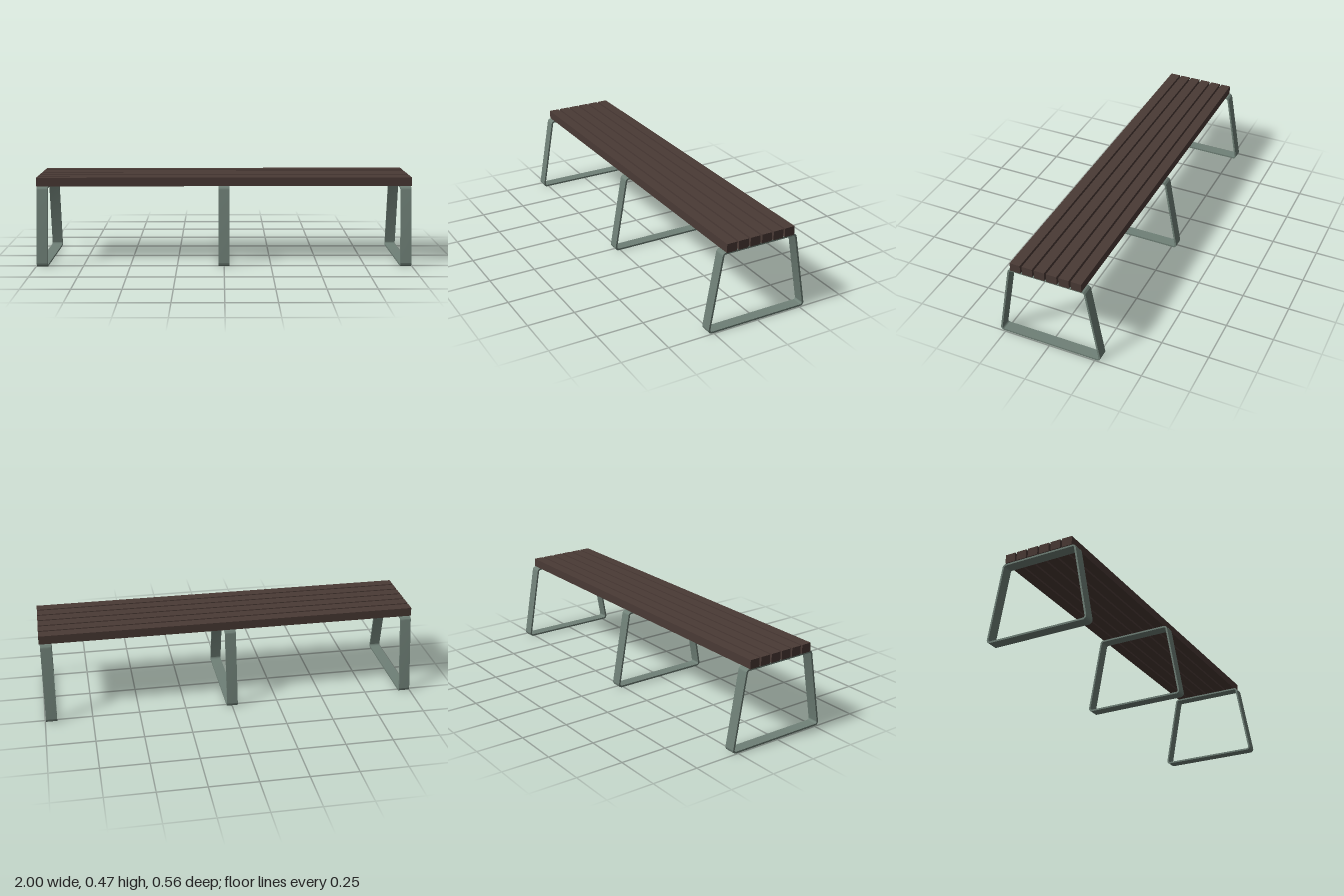
import * as THREE from 'three';
import { toCreasedNormals } from 'three/addons/utils/BufferGeometryUtils.js';

const HEIGHT = 0.42;       // top of the steel frames
const BASE_HALF = 0.2815;  // half depth at the floor, before rounding
const LEAN = 0.1745;       // lean of the legs in radians
const RADIUS = 0.019;      // outer bend radius
const BAR = 0.0095;        // thickness of the flat bar
const BAR_WIDTH = 0.058;

// Trapezoid loop with rounded corners; both loops share the same bend centres
function traceLoop(path, radius) {
  const reach = BASE_HALF * Math.cos(LEAN) - RADIUS;
  const halfAt = (y) => (reach - y * Math.sin(LEAN)) / Math.cos(LEAN);
  const low = RADIUS, high = HEIGHT - RADIUS;
  const zLow = halfAt(low), zHigh = halfAt(high);
  path.absarc(zLow, low, radius, -Math.PI / 2, LEAN, false);
  path.absarc(zHigh, high, radius, LEAN, Math.PI / 2, false);
  path.absarc(-zHigh, high, radius, Math.PI / 2, Math.PI - LEAN, false);
  path.absarc(-zLow, low, radius, Math.PI - LEAN, Math.PI * 1.5, false);
  path.closePath();
  return path;
}

function frameGeometry() {
  const shape = traceLoop(new THREE.Shape(), RADIUS);
  shape.holes.push(traceLoop(new THREE.Path(), RADIUS - BAR));
  const geometry = new THREE.ExtrudeGeometry(shape, {
    depth: BAR_WIDTH, bevelEnabled: false, curveSegments: 10,
  });
  geometry.translate(0, 0, -BAR_WIDTH / 2).rotateY(-Math.PI / 2);
  return toCreasedNormals(geometry, 0.6);
}

export function createModel() {
  const bench = new THREE.Group();
  bench.name = 'bench';
  const wood = new THREE.MeshStandardMaterial({ color: 0x4a3a35 });
  const steel = new THREE.MeshStandardMaterial({ color: 0x6f8077 });

  // Three bent flat-bar leg frames
  const frame = frameGeometry();
  const frames = { rightLegFrame: -0.966, middleLegFrame: 0, leftLegFrame: 0.966 };
  for (const [name, x] of Object.entries(frames)) {
    const mesh = new THREE.Mesh(frame, steel);
    mesh.name = name;
    mesh.position.x = x;
    bench.add(mesh);
  }

  // Six seat slats running the full length
  const seat = new THREE.Group();
  seat.name = 'seat';
  const slat = new THREE.BoxGeometry(2, 0.046, 0.055);
  for (let i = 0; i < 6; i++) {
    const mesh = new THREE.Mesh(slat, wood);
    mesh.name = `seatSlat${i + 1}`;
    mesh.position.set(0, HEIGHT + 0.023, (i - 2.5) * 0.0653);
    seat.add(mesh);
  }
  bench.add(seat);
  return bench;
}
